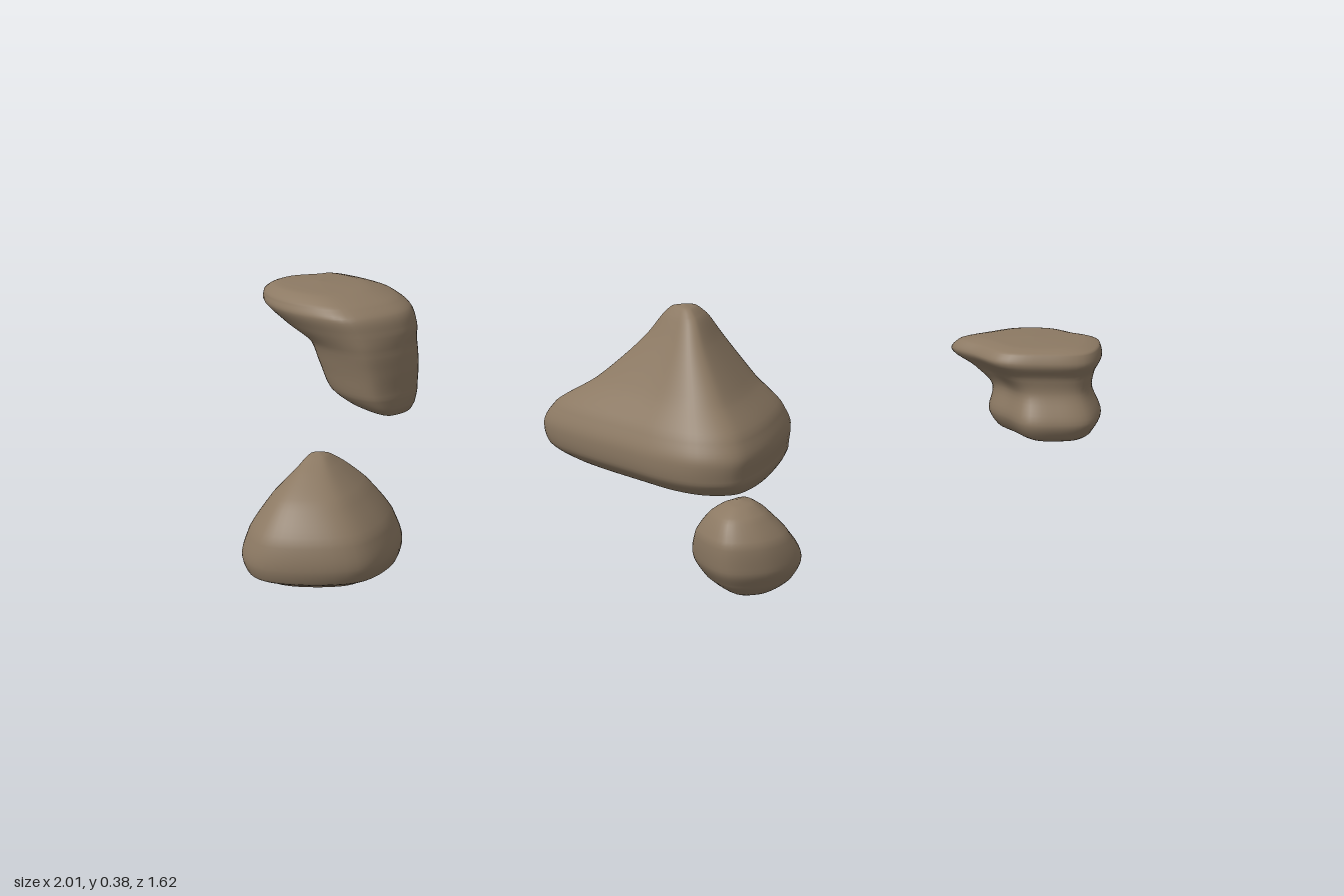
import * as THREE from 'three';

const AROUND = 56, STEPS = 6;

// Smooth stone: one closed outline [x, z] (clockwise from above) lofted through
// levels of [y, shift x, shift z, scale x, scale z] from bottom to top.
function makeStone(name, outline, levels, material) {
  const curve = new THREE.CatmullRomCurve3(
    outline.map(([x, z]) => new THREE.Vector3(x, 0, z)), true);
  const ring = curve.getPoints(AROUND).slice(0, AROUND);
  const box = new THREE.Box3().setFromPoints(ring);
  const mid = box.getCenter(new THREE.Vector3());

  const axis = new THREE.CatmullRomCurve3(
    levels.map(([y, dx, dz]) => new THREE.Vector3(mid.x + dx, y, mid.z + dz)));
  const size = new THREE.CatmullRomCurve3(
    levels.map(([y, , , sx, sz]) => new THREE.Vector3(sx, y, sz)));

  const rows = (levels.length - 1) * STEPS;
  const positions = [], index = [];
  for (let i = 0; i <= rows; i++) {
    const c = axis.getPoint(i / rows), s = size.getPoint(i / rows);
    for (const p of ring) {
      positions.push(c.x + (p.x - mid.x) * s.x, Math.max(0, c.y), c.z + (p.z - mid.z) * s.z);
    }
  }
  for (let i = 0; i < rows; i++) {
    for (let j = 0; j < AROUND; j++) {
      const k = (j + 1) % AROUND;
      const a = i * AROUND + j, b = a + AROUND;
      const c = i * AROUND + k, d = c + AROUND;
      if (i > 0) index.push(a, b, c);
      if (i < rows - 1) index.push(b, d, c);
      else index.push(b, c, d);
    }
  }
  const geometry = new THREE.BufferGeometry();
  geometry.setAttribute('position', new THREE.Float32BufferAttribute(positions, 3));
  geometry.setIndex(index);
  geometry.computeVertexNormals();
  const mesh = new THREE.Mesh(geometry, material);
  mesh.name = name;
  return mesh;
}

export function createModel() {
  const group = new THREE.Group();
  group.name = 'scatteredStones';
  const stone = new THREE.MeshStandardMaterial({ color: 0x8c7963 });
  stone.name = 'brown stone';
  const add = (name, outline, levels) => group.add(makeStone(name, outline, levels, stone));

  // Large three-sided pyramid stone in the middle
  add('pyramidStone',
    [[-0.18, -0.2], [-0.16, -0.235], [0.03, -0.32], [0.2, -0.41], [0.28, -0.42], [0.345, -0.36],
     [0.36, -0.2], [0.34, -0.05], [0.31, 0.01], [0.24, 0.035], [0.16, 0.02], [0.06, -0.03], [-0.15, -0.155]],
    [[0, 0.06, 0, 0, 0], [0.003, 0.05, 0, 0.5, 0.5], [0.015, 0.03, 0, 0.82, 0.85],
     [0.045, 0.005, 0, 0.97, 0.98], [0.09, 0, 0, 1, 1], [0.14, 0.005, 0, 0.91, 0.91],
     [0.2, 0.025, 0, 0.64, 0.71], [0.3, 0.045, 0, 0.31, 0.41], [0.355, 0.05, 0, 0.17, 0.22],
     [0.375, 0.05, 0, 0.09, 0.11], [0.38, 0.05, 0, 0, 0]]);

  // Bent stone whose cap overhangs its foot to the back
  add('overhangingStone',
    [[-1, -0.5], [-0.98, -0.6], [-0.89, -0.67], [-0.86, -0.7], [-0.79, -0.68], [-0.68, -0.61],
     [-0.6, -0.49], [-0.6, -0.41], [-0.68, -0.31], [-0.77, -0.31], [-0.93, -0.39]],
    [[0.01, 0.14, 0.05, 0, 0], [0.012, 0.14, 0.05, 0.22, 0.35], [0.03, 0.115, 0.04, 0.42, 0.55],
     [0.06, 0.09, 0.03, 0.57, 0.68], [0.12, 0.075, 0.02, 0.65, 0.78], [0.175, 0.06, 0.015, 0.7, 0.86],
     [0.215, 0.025, 0.005, 0.87, 0.95], [0.255, -0.01, 0, 0.97, 1], [0.28, -0.03, 0, 0.88, 0.9],
     [0.3, -0.05, 0.01, 0.6, 0.6], [0.306, -0.06, 0.01, 0, 0]]);

  // Small peaked stone with a flat base
  add('peakedStone',
    [[-0.48, 0.59], [-0.46, 0.565], [-0.36, 0.535], [-0.25, 0.51], [-0.22, 0.54], [-0.19, 0.65],
     [-0.21, 0.75], [-0.31, 0.8], [-0.4, 0.8], [-0.46, 0.74], [-0.48, 0.66]],
    [[0.025, 0, 0, 0, 0], [0.025, 0, 0, 0.8, 0.8], [0.033, 0, 0, 0.95, 0.95],
     [0.06, 0, 0, 1, 1], [0.11, 0, 0, 0.88, 0.94], [0.17, -0.005, -0.01, 0.56, 0.7],
     [0.21, -0.01, -0.025, 0.27, 0.38], [0.23, -0.015, -0.035, 0.12, 0.14], [0.236, -0.015, -0.037, 0, 0]]);

  // Smallest, egg-shaped stone
  add('eggStone',
    [[0.47, 0.39], [0.515, 0.42], [0.555, 0.5], [0.555, 0.55], [0.52, 0.61], [0.45, 0.64],
     [0.385, 0.59], [0.36, 0.535], [0.395, 0.47], [0.43, 0.41]],
    [[0.027, 0.01, 0.03, 0, 0], [0.03, 0.01, 0.03, 0.4, 0.4], [0.05, 0.005, 0.01, 0.8, 0.78],
     [0.085, 0, 0, 1, 1], [0.135, -0.005, 0.025, 0.85, 0.8], [0.175, -0.01, 0.035, 0.52, 0.52],
     [0.192, -0.01, 0.035, 0.26, 0.26], [0.198, -0.01, 0.035, 0, 0]]);

  // Flat-topped stone with a pinched waist
  add('waistedStone',
    [[0.66, -0.64], [0.72, -0.73], [0.78, -0.79], [0.87, -0.81], [0.93, -0.775], [0.98, -0.75],
     [0.995, -0.66], [0.97, -0.57], [0.88, -0.53], [0.79, -0.52], [0.72, -0.58]],
    [[0.027, 0.07, 0.01, 0, 0], [0.03, 0.065, 0.01, 0.4, 0.55], [0.045, 0.055, 0.01, 0.62, 0.82],
     [0.08, 0.05, 0.01, 0.74, 0.92], [0.14, 0.04, 0.01, 0.66, 0.74], [0.18, 0.02, 0.005, 0.8, 0.82],
     [0.215, 0, 0, 1, 1], [0.238, 0.005, 0, 0.93, 0.92], [0.247, 0.01, 0, 0.7, 0.7], [0.25, 0.01, 0, 0, 0]]);

  return group;
}
